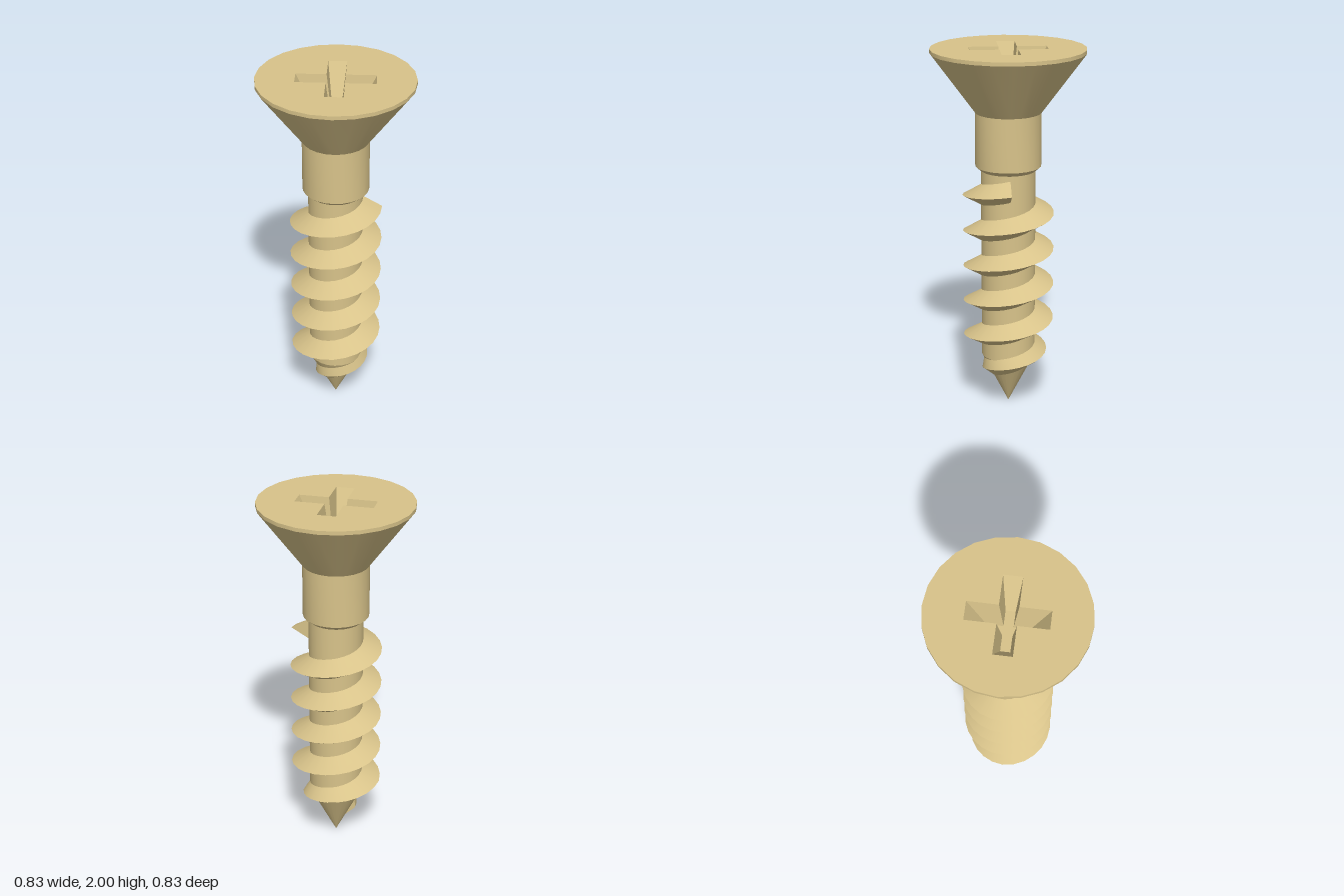
import * as THREE from 'three';
import { toCreasedNormals } from 'three/addons/utils/BufferGeometryUtils.js';

const SIDES = 24;
const CORE = 0.147;      // radius of the threaded shank
const TIP_TOP = 0.29;    // height where the point begins
const HEAD = 0.413;
const coreRadius = (y) => CORE * THREE.MathUtils.clamp(y / TIP_TOP, 0, 1);

const crease = (geometry) => toCreasedNormals(geometry, 0.4);

function indexed(positions, index) {
  const g = new THREE.BufferGeometry();
  g.setAttribute('position', new THREE.Float32BufferAttribute(positions, 3));
  g.setIndex(index);
  return g;
}

// Outline of the cross-shaped drive, counter-clockwise
function crossPoints(length, half) {
  const points = [];
  for (let i = 0; i < 4; i++) {
    for (const [x, y] of [[length, -half], [length, half], [half, half]]) {
      points.push(new THREE.Vector2(x, y).rotateAround(new THREE.Vector2(), i * Math.PI / 2));
    }
  }
  return points;
}

// Sloping walls between the upper and lower cross outlines
function recessWalls(upper, lower, yTop, yBottom) {
  const positions = [], index = [], n = upper.length;
  for (let i = 0; i < n; i++) {
    positions.push(upper[i].x, yTop, -upper[i].y, lower[i].x, yBottom, -lower[i].y);
    const t = 2 * i, u = 2 * ((i + 1) % n);
    index.push(t, u, t + 1, t + 1, u, u + 1);
  }
  return crease(indexed(positions, index));
}

// Helical ridge of triangular section, tapering along the point
function threadGeometry() {
  const turns = 5.5, pitch = 0.2, topY = 1.26, halfHeight = 0.06;
  const steps = turns * SIDES, positions = [], index = [];
  for (let i = 0; i <= steps; i++) {
    const turn = i / SIDES, a = turn * Math.PI * 2, y = topY - turn * pitch;
    const crest = 0.247 - 0.137 * Math.max(0, turn - 4.5);
    const section = [
      [coreRadius(y + halfHeight) - 0.003, y + halfHeight],
      [crest, y],
      [coreRadius(y - halfHeight) - 0.003, y - halfHeight],
    ];
    for (const [r, h] of section) positions.push(r * Math.cos(a), h, r * Math.sin(a));
    if (i === steps) continue;
    for (const k of [0, 1]) {
      const p = 3 * i + k;
      index.push(p, p + 3, p + 1, p + 1, p + 3, p + 4);
    }
  }
  const e = 3 * steps;
  index.push(0, 1, 2, e, e + 2, e + 1); // end caps
  return crease(indexed(positions, index));
}

export function createModel() {
  const model = new THREE.Group();
  model.name = 'woodScrew';
  const brass = new THREE.MeshStandardMaterial({ color: 0xd8c38a });
  brass.name = 'brass';
  const add = (name, geometry) => {
    const mesh = new THREE.Mesh(geometry, brass);
    mesh.name = name;
    model.add(mesh);
    return mesh;
  };
  const lathe = (points) => crease(
    new THREE.LatheGeometry(points.map(([r, y]) => new THREE.Vector2(r, y)), SIDES));

  // Body, from the point up to the rim of the head
  add('shankAndPoint', lathe([[0, 0], [CORE, TIP_TOP], [CORE, 1.345], [0.177, 1.37], [0.177, 1.66]]));
  add('countersunkHead', lathe([[0.177, 1.66], [HEAD, 1.98], [HEAD, 2]]));
  add('thread', threadGeometry());

  // Flat top with the cross cut out
  const upper = crossPoints(0.207, 0.049), lower = crossPoints(0.108, 0.025);
  const floorY = 1.8;
  const rim = [];
  for (let i = 0; i < SIDES; i++) {
    const a = i / SIDES * Math.PI * 2;
    rim.push(new THREE.Vector2(HEAD * Math.cos(a), HEAD * Math.sin(a)));
  }
  const face = new THREE.Shape(rim);
  face.holes.push(new THREE.Path(upper));
  add('headTop', new THREE.ShapeGeometry(face).rotateX(-Math.PI / 2).translate(0, 2, 0));

  // Recess for the driver
  add('recessWalls', recessWalls(upper, lower, 2, floorY));
  add('recessFloor', new THREE.ShapeGeometry(new THREE.Shape(lower))
    .rotateX(-Math.PI / 2).translate(0, floorY, 0));

  return model;
}
